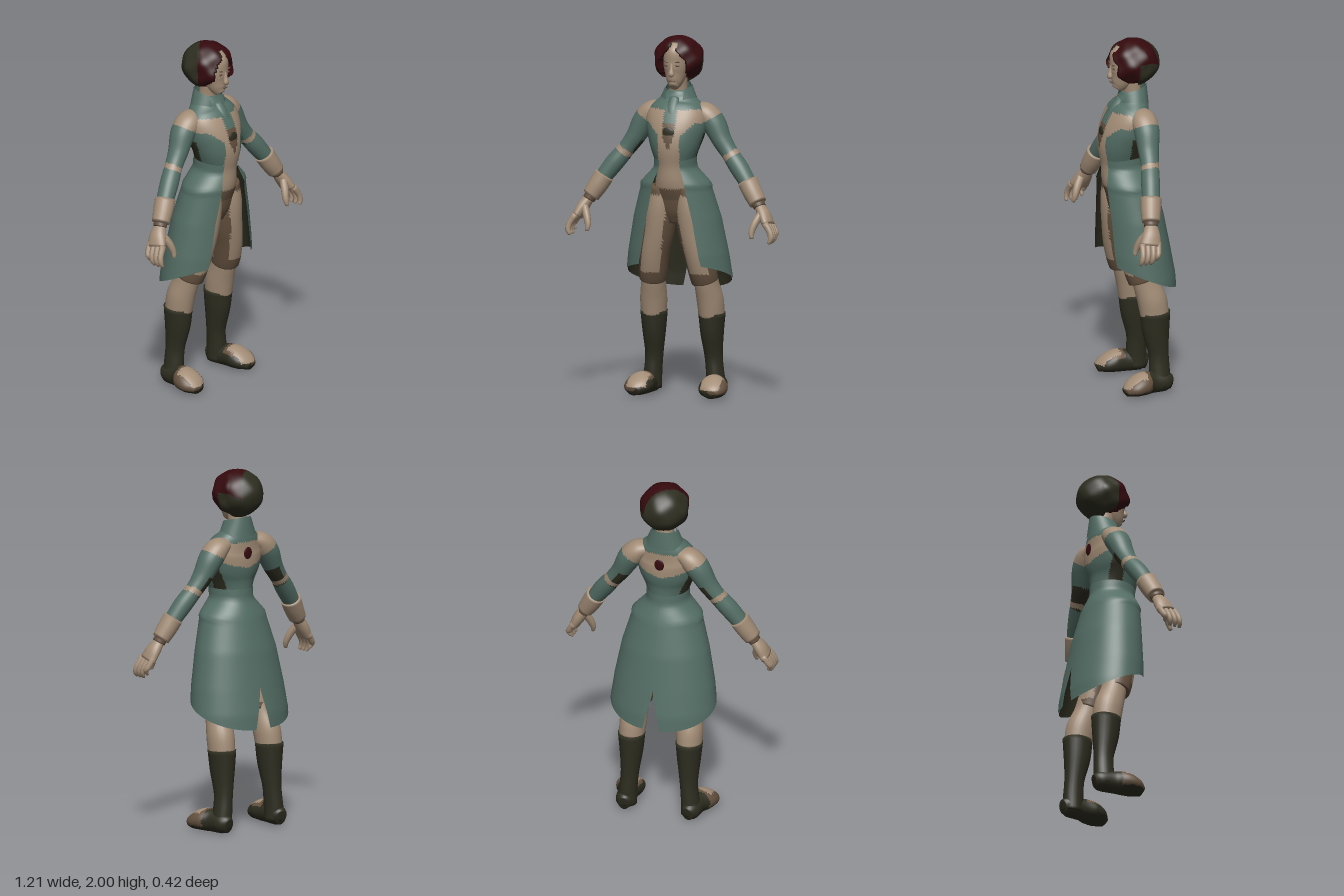
import * as THREE from 'three';
import { mergeVertices } from 'three/addons/utils/BufferGeometryUtils.js';

const colour = (name, hex) => Object.assign(new THREE.MeshStandardMaterial({ color: hex }), { name });
const { sin, cos, PI, abs, min, max, hypot } = Math;

export function createModel() {
  const model = new THREE.Group();
  const teal = colour('coat teal', 0x536d64), beige = colour('beige', 0xa28c76);
  const brown = colour('brown', 0x64513f), dark = colour('dark olive', 0x2e2d20);
  const red = colour('dark red', 0x350a0e);

  // Surface from a rule f(u, v) -> [x, y, z]; paint is a material or a rule (x, y, z) -> material
  function surface(name, f, nu, nv, paint, flip = false) {
    const pos = [], idx = [];
    for (let j = 0; j <= nv; j++) for (let i = 0; i <= nu; i++) pos.push(...f(i / nu, j / nv, j));
    for (let j = 0; j < nv; j++) for (let i = 0; i < nu; i++) {
      const a = j * (nu + 1) + i, b = a + 1, c = a + nu + 1, d = c + 1;
      idx.push(...(flip ? [a, c, b, b, c, d] : [a, b, c, b, d, c]));
    }
    let g = new THREE.BufferGeometry();
    g.setAttribute('position', new THREE.Float32BufferAttribute(pos, 3));
    g.setIndex(idx);
    g = mergeVertices(g, 1e-5);
    g.computeVertexNormals();
    let mats = paint;
    if (typeof paint === 'function') {
      const buckets = new Map(), p = g.attributes.position, ix = g.index.array;
      for (let k = 0; k < ix.length; k += 3) {
        const t = [ix[k], ix[k + 1], ix[k + 2]];
        const mid = [0, 1, 2].map(c => t.reduce((s, n) => s + p.getComponent(n, c), 0) / 3);
        const m = paint(...mid);
        if (!buckets.has(m)) buckets.set(m, []);
        buckets.get(m).push(...t);
      }
      const all = [];
      mats = [...buckets.keys()];
      mats.forEach((m, n) => {
        g.addGroup(all.length, buckets.get(m).length, n);
        for (const q of buckets.get(m)) all.push(q);
      });
      g.setIndex(all);
    }
    const mesh = new THREE.Mesh(g, mats);
    mesh.name = name;
    model.add(mesh);
    return mesh;
  }

  // Closed tube through sections [x, y, z, width radius, depth radius], capped at both ends
  function loft(name, secs, paint, nu = 24, per = 5) {
    const curve = pick => new THREE.CatmullRomCurve3(secs.map(pick), false, 'catmullrom', 0.5);
    const centre = curve(s => new THREE.Vector3(s[0], s[1], s[2]));
    const radius = curve(s => new THREE.Vector3(s[3], s[4], 0));
    const n = (secs.length - 1) * per;
    const rings = Array.from({ length: n + 3 }, (_, j) => {
      const t = min(max((j - 1) / n, 0), 1), c = centre.getPoint(t), d = centre.getTangent(t);
      const w = abs(d.z) > 0.85 ? new THREE.Vector3(0, 1, 0) : new THREE.Vector3(0, 0, 1);
      w.addScaledVector(d, -w.dot(d)).normalize();
      const r = radius.getPoint(t).multiplyScalar(j === 0 || j === n + 2 ? 0 : 1);
      return { c, w, u: d.clone().cross(w), r };
    });
    return surface(name, (u, v, j) => {
      const { c, w, u: side, r } = rings[j], a = (u % 1) * 2 * PI;
      return c.clone().addScaledVector(side, r.x * sin(a)).addScaledVector(w, r.y * cos(a)).toArray();
    }, nu, n + 2, paint);
  }

  function blob(name, mat, x, y, z, sx, sy, sz) {
    const m = new THREE.Mesh(new THREE.SphereGeometry(1, 16, 10), mat);
    m.name = name;
    m.position.set(x, y, z);
    m.scale.set(sx, sy, sz);
    model.add(m);
    return m;
  }

  // Torso: waistcoat, coat fronts and pale yoke
  loft('torso', [
    [0, 1.1, .06, .13, .1], [0, 1.2, .07, .112, .122], [0, 1.3, .075, .108, .124], [0, 1.4, .08, .14, .134],
    [0, 1.48, .065, .165, .135], [0, 1.56, .045, .17, .118], [0, 1.62, .025, .14, .092],
    [0, 1.665, .02, .095, .075], [0, 1.7, .02, .06, .055],
  ], (x, y, z) => {
    const a = abs(x);
    if (y < 1.17) return brown;
    if (y > 1.605) return teal;
    if (z > .075) {
      if (y > 1.53) return a < .035 ? teal : beige;
      if (y > 1.47 && a > .045 && a < .13 - (1.53 - y)) return beige;
      if (a < .035 && y > 1.4 && a < (y - 1.38) * .4) return brown;
      return a < .062 + max(0, 1.32 - y) * .25 ? beige : teal;
    }
    if (z > .0 && y > 1.33 && y < 1.47) return dark;
    return z < .03 && y > 1.46 + a * .25 && a < .15 ? beige : teal;
  }, 72, 7);
  blob('brooch', dark, 0, 1.48, .199, .036, .034, .009);
  blob('backSpot', red, 0, 1.545, -.073, .028, .034, .006);
  loft('neckcloth', [[0, 1.54, .165, .02, .012], [0, 1.6, .13, .036, .025], [0, 1.66, .085, .03, .025]], teal, 16);

  // Standing collar, open at the front
  for (const inner of [false, true])
    surface(inner ? 'collarLining' : 'collar', (u, v) => {
      const a = .4 + v * .35 + u * (2 * PI - .8 - v * .7), k = inner ? -.005 : 0;
      return [(.112 - .04 * v + k) * sin(a), 1.635 + v * (.09 - .02 * cos(a)), .02 + (.088 - .008 * v + k) * cos(a)];
    }, 32, 6, teal, inner);

  // Coat skirt: [height, half width, centre z, half depth, front edge angle]
  const skirt = [
    [1.34, .118, .077, .128, .5], [1.28, .118, .073, .128, .55], [1.22, .175, .067, .148, .5], [1.19, .203, .064, .156, .48],
    [1.17, .2, .06, .158, .5], [1, .248, .037, .18, .57], [.8, .285, .02, .2, .63], [.66, .302, .005, .21, .72], [.55, .306, 0, .213, .85],
  ];
  const at = y => {
    const k = min(max(skirt.findIndex(r => r[0] <= y), 1), skirt.length - 1);
    const t = (skirt[k - 1][0] - y) / (skirt[k - 1][0] - skirt[k][0]);
    return skirt[k].map((q, c) => skirt[k - 1][c] * (1 - t) + q * t);
  };
  for (const s of [1, -1]) for (const inner of [false, true])
    surface(inner ? 'skirtLining' : 'coatSkirt', (u, v) => {
      const rough = .5 + u * (PI - .5), y = 1.34 - (1 - v) * (1.34 - .667 - .087 * -1 * -cos(rough));
      const [, rx, zc, rz, a0] = at(y), k = inner ? .007 : 0;
      const a = a0 + u * (PI - a0 - max(0, .8 - y) * .75);
      return [s * (rx - k) * sin(a), y, zc + (rz - k) * cos(a)];
    }, 32, 40, inner ? dark : teal, (s < 0) !== inner);

  for (const s of [1, -1]) {
    const side = rows => rows.map(r => [s * r[0], ...r.slice(1)]);

    // Sleeve with pale shoulder and elbow band
    loft('sleeve', side([
      [.09, 1.6, .01, .035, .05], [.15, 1.575, .008, .06, .07], [.2, 1.52, .008, .066, .07], [.25, 1.43, .018, .054, .058],
      [.3, 1.36, .028, .048, .05], [.36, 1.285, .048, .052, .052], [.43, 1.19, .07, .045, .048],
    ]), (x, y, z) => {
      const q = .55 * abs(x) - .83 * (y - 1.6);
      if (q < .15) return beige;
      if (q > .36 && q < .39) return beige;
      if (q > .27 && q < .4 && abs(x) < .29 - (y - 1.37) * .7 && z < .05) return dark;
      return teal;
    }, 28, 8);
    loft('cuff', side([[.415, 1.215, .066, .056, .058], [.45, 1.155, .08, .054, .056], [.485, 1.1, .092, .048, .05]]), beige);
    loft('wristBand', side([[.485, 1.1, .092, .036, .038], [.496, 1.08, .096, .034, .038]]), brown);

    // Hand
    loft('palm', side([[.49, 1.09, .093, .026, .032], [.525, 1.04, .105, .034, .05], [.555, .985, .12, .028, .06]]), beige);
    for (let i = 0; i < 4; i++) {
      const z = .075 + i * .03, drop = i === 0 ? .02 : 0;
      loft('finger', side([[.55, 1.0, z, .019, .018], [.582, .95, z + .01, .017, .016],
        [.588, .915 + drop, z + .018, .015, .014], [.575, .89 + drop, z + .022, .008, .008]]), beige, 10, 3);
    }
    loft('thumb', side([[.515, 1.055, .12, .02, .022], [.49, 1.0, .155, .021, .022], [.475, .95, .175, .017, .017],
      [.478, .915, .185, .01, .01]]), beige, 12, 3);

    // Breeches and stocking
    loft('breeches', side([[.075, 1.17, .065, .07, .1], [.085, 1.05, .065, .084, .105], [.1, .92, .06, .084, .098],
      [.125, .8, .05, .08, .09], [.142, .7, .03, .078, .085], [.15, .645, .015, .074, .08]]),
    (x, y, z) => {
      const a = abs(x), c = .085 + (1.05 - y) * .16;
      if (y < .69 || y > 1.13) return brown;
      return z > .06 && abs(a - c) < .056 ? beige : z < 0 && y < .78 ? beige : brown;
    }, 32, 7);
    loft('stocking', side([[.148, .7, .015, .066, .07], [.155, .62, -.005, .068, .073], [.164, .53, -.035, .074, .082],
      [.168, .44, -.05, .07, .08]]), beige);

    // Boot and shoe
    loft('boot', side([[.168, .46, -.052, .075, .085], [.168, .35, -.056, .064, .076], [.172, .22, -.07, .05, .057],
      [.18, .12, -.073, .05, .058], [.188, .03, -.075, .056, .058]]), dark);
    loft('shoe', side([[.185, .045, -.135, .03, .04], [.19, .055, -.1, .052, .055], [.198, .062, -.02, .056, .062],
      [.21, .062, .04, .078, .062], [.22, .046, .1, .074, .046], [.225, .028, .143, .035, .024]]),
    (x, y, z) => {
      if (y < .03 || z < -.02) return dark;
      if (z > .02 && y > .052 && abs(abs(x) - .212) < .055) return beige;
      return z > .0 && (y > .09 || abs(x) > .21) ? brown : dark;
    }, 28, 6);

    // Eye and brow
    blob('eye', brown, s * .03, 1.848, .139, .014, .006, .005);
    blob('brow', brown, s * .031, 1.868, .14, .019, .004, .005).rotation.z = s * .2;
  }
  loft('pelvis', [[0, .97, .06, .05, .06], [0, 1.04, .06, .12, .09], [0, 1.15, .065, .125, .108]], brown);

  // Neck, head and face
  loft('neck', [[0, 1.64, .02, .062, .06], [0, 1.7, .02, .05, .05], [0, 1.8, .035, .05, .055]], beige);
  loft('head', [[0, 1.722, .11, .022, .028], [0, 1.75, .092, .042, .052], [0, 1.8, .07, .06, .077],
    [0, 1.86, .06, .07, .088], [0, 1.92, .055, .066, .09], [0, 1.965, .05, .04, .06]], beige, 32);
  loft('nose', [[0, 1.86, .138, .008, .01], [0, 1.825, .146, .012, .013], [0, 1.8, .15, .018, .016], [0, 1.79, .145, .012, .01]], beige, 14);
  blob('mouth', brown, 0, 1.764, .144, .02, .004, .005);

  // Lumpy hair, hollowed around the face
  surface('hair', (u, v) => {
    const t = (u % 1) * 2 * PI, f = PI * v;
    const lump = 1 + sin(f) * (.035 * sin(6 * t + 4 * f) + .03 * cos(4 * t - 7 * f)) * (cos(t) > -.4 ? 1 : .4);
    const low = v < .4 ? 1 - (.4 - v) * .35 : 1;
    const x = .136 * lump * low * sin(f) * sin(t);
    let y = 1.867 - .133 * cos(f) * (1 + (lump - 1) * .4);
    let z = .015 + .148 * lump * low * sin(f) * cos(t);
    if (z > 0) y = max(y, 1.77);
    if (z > .04 && abs(x) < min(.072, (1.955 - y) * .85)) z = .04;
    return [x, y, z];
  }, 72, 44, (x, y, z) => {
    if (z < -.04 - .8 * x && z < .05) return dark;
    if (z < .02 && y < 1.875 + .012 * sin(x * 60)) return dark;
    return z > .1 && hypot(x, y - 1.955) < .022 ? dark : red;
  });
  return model;
}
